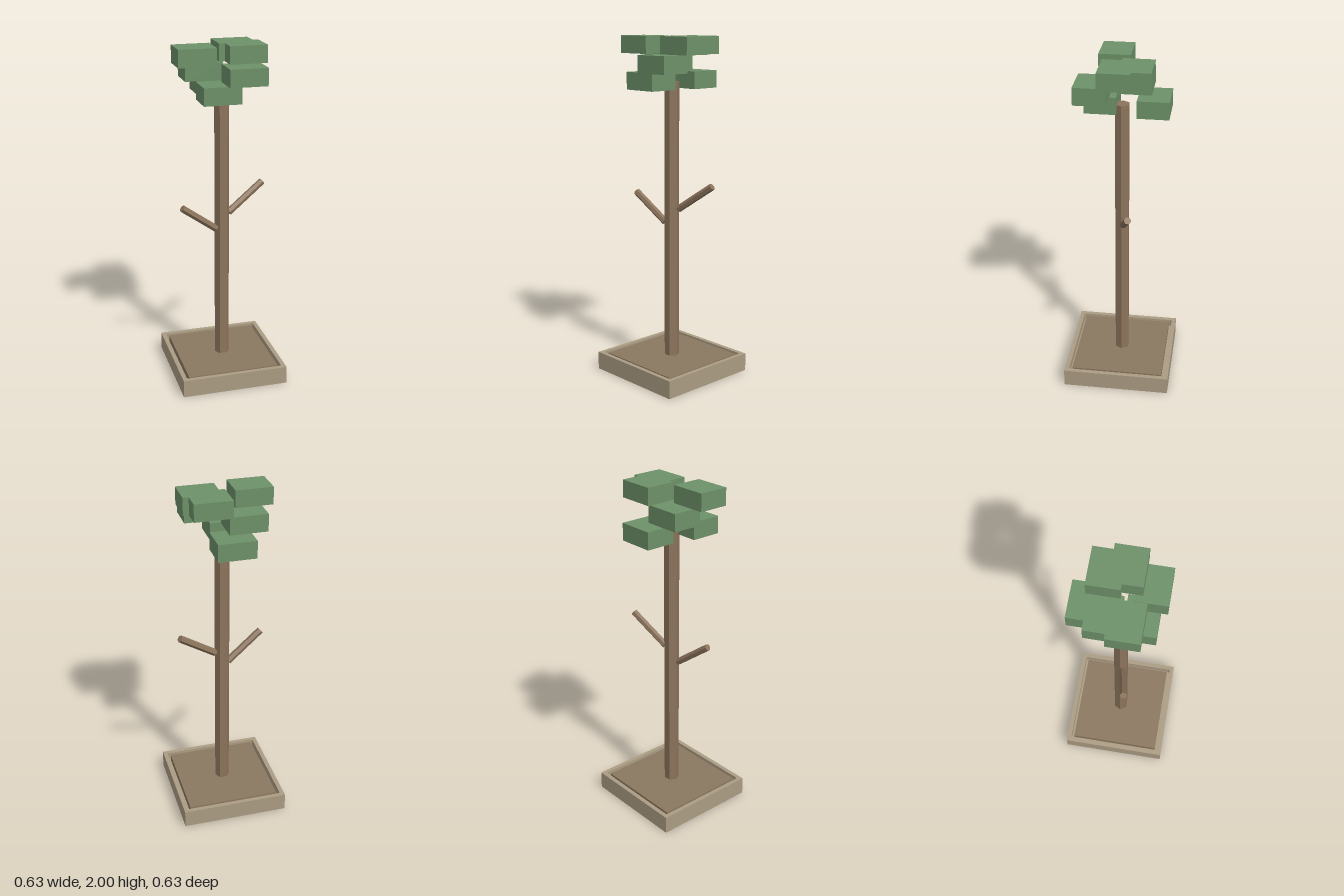
import * as THREE from 'three';

const mat = (name, color) => {
  const m = new THREE.MeshStandardMaterial({ color });
  m.name = name;
  return m;
};

export function createModel() {
  const stone = mat('planter stone', 0xab9c83);
  const soilMat = mat('soil', 0x8b7860);
  const bark = mat('bark', 0x8c745c);
  const leaf = mat('leaf green', 0x6d9168);
  bark.flatShading = true;

  const model = new THREE.Group();
  model.name = 'plantedTree';
  const add = (name, geometry, material, x = 0, y = 0, z = 0) => {
    const mesh = new THREE.Mesh(geometry, material);
    mesh.name = name;
    mesh.position.set(x, y, z);
    model.add(mesh);
    return mesh;
  };

  // Square planter: a solid base with a rim whose inner corners are clipped
  const half = 0.316, inner = 0.29, clip = 0.006, top = 0.106, floor = 0.06;
  add('planterBase', new THREE.BoxGeometry(half * 2, floor, half * 2), stone, 0, floor / 2, 0);
  const rim = new THREE.Shape([[-1, -1], [1, -1], [1, 1], [-1, 1]]
    .map(([x, y]) => new THREE.Vector2(x * half, y * half)));
  const a = inner, b = inner - clip;
  rim.holes.push(new THREE.Path([[a, b], [b, a], [-b, a], [-a, b], [-a, -b], [-b, -a], [b, -a], [a, -b]]
    .map(([x, y]) => new THREE.Vector2(x, y))));
  const rimGeometry = new THREE.ExtrudeGeometry(rim, { depth: top - floor, bevelEnabled: false });
  rimGeometry.rotateX(-Math.PI / 2);
  add('planterRim', rimGeometry, stone, 0, floor, 0);

  // Soil block with a narrow groove around it
  add('soil', new THREE.BoxGeometry(0.546, 0.042, 0.546), soilMat, 0, floor + 0.021, 0);

  // Six-sided trunk, corners pointing along x
  const trunkTop = 1.745, trunkBottom = 0.08;
  const trunk = add('trunk', new THREE.CylinderGeometry(0.044, 0.044, trunkTop - trunkBottom, 6),
    bark, 0, (trunkTop + trunkBottom) / 2, 0);
  trunk.rotation.y = Math.PI / 6;

  // Bare side branches, from start point to end point
  const branch = (name, from, to) => {
    const p = new THREE.Vector3(...from), q = new THREE.Vector3(...to);
    const dir = q.clone().sub(p);
    const mesh = add(name, new THREE.CylinderGeometry(0.021, 0.021, dir.length(), 6), bark);
    mesh.position.copy(p).add(q).multiplyScalar(0.5);
    mesh.quaternion.setFromUnitVectors(new THREE.Vector3(0, 1, 0), dir.normalize());
  };
  branch('leftBranch', [0.045, 1.005, -0.01], [0.265, 1.16, -0.065]);
  branch('rightBranch', [-0.04, 0.92, 0.016], [-0.25, 1.077, 0.055]);

  // Foliage: equal blocks in three layers (x, y, z of each centre)
  const leafGeometry = new THREE.BoxGeometry(0.215, 0.1, 0.178);
  [
    [-0.0135, 1.75, -0.179], [-0.0475, 1.75, 0.1165],
    [-0.106, 1.85, -0.073], [0.088, 1.85, 0.154],
    [-0.1715, 1.95, 0.0515], [0.092, 1.95, -0.089], [0.125, 1.95, 0.019],
  ].forEach((p, i) => add(`leafBlock${i + 1}`, leafGeometry, leaf, ...p));

  return model;
}
